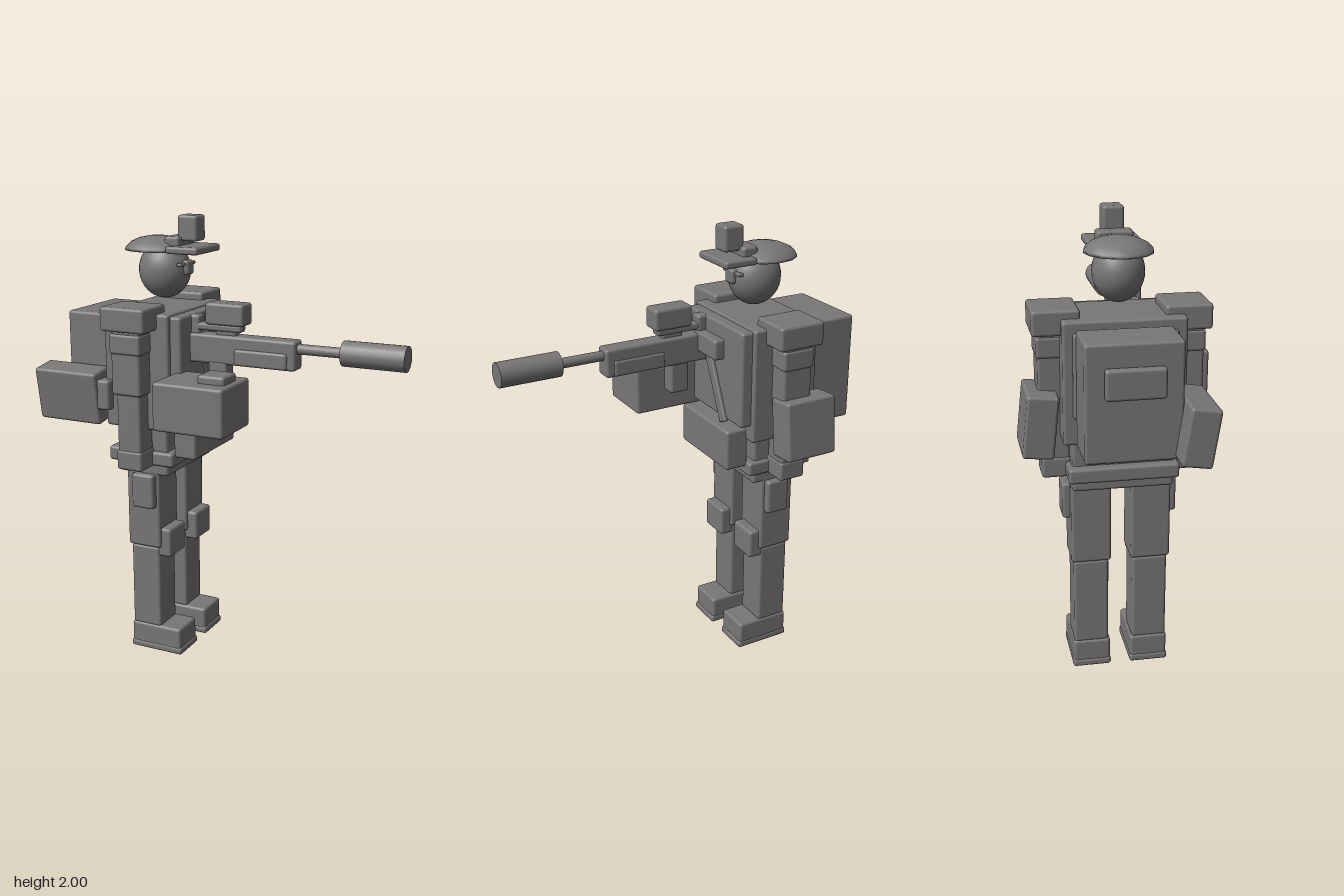
import * as THREE from 'three';
import { RoundedBoxGeometry } from 'three/addons/geometries/RoundedBoxGeometry.js';

const MID = -0.008; // mirror plane between left and right limbs

export function createModel() {
  const model = new THREE.Group();
  const gray = new THREE.MeshStandardMaterial({ color: 0x797676 });
  gray.name = 'plainGray';

  const add = (name, geometry, x, y, z, parent = model) => {
    const mesh = new THREE.Mesh(geometry, gray);
    mesh.name = name;
    mesh.position.set(x, y, z);
    parent.add(mesh);
    return mesh;
  };

  // Softly rounded box given by its extents on each axis
  const box = (name, [x0, x1], [y0, y1], [z0, z1], parent = model) => {
    const w = x1 - x0, h = y1 - y0, d = z1 - z0;
    const r = Math.min(0.013, Math.min(w, h, d) * 0.35);
    return add(name, new RoundedBoxGeometry(w, h, d, 2, r),
      (x0 + x1) / 2, (y0 + y1) / 2, (z0 + z1) / 2, parent);
  };

  const rod = (name, r, x0, x1, y, z, parent) => {
    const mesh = add(name, new THREE.CylinderGeometry(r, r, x1 - x0, 20), (x0 + x1) / 2, y, z, parent);
    mesh.rotation.z = Math.PI / 2;
    return mesh;
  };

  // Limbs: extents in z are distances from the mirror plane
  const limbs = [
    ['sole', [-0.425, -0.16], [0, 0.035], [0.042, 0.21]],
    ['boot', [-0.42, -0.167], [0.02, 0.127], [0.045, 0.207]],
    ['shin', [-0.415, -0.27], [0.12, 0.515], [0.052, 0.203]],
    ['kneePad', [-0.285, -0.213], [0.475, 0.61], [0.055, 0.2]],
    ['thigh', [-0.425, -0.26], [0.515, 0.89], [0.042, 0.213]],
    ['thighPouch', [-0.385, -0.275], [0.71, 0.87], [0.19, 0.245]],
    ['hand', [-0.405, -0.28], [0.91, 1.0], [0.208, 0.33]],
    ['forearm', [-0.4, -0.285], [0.98, 1.26], [0.212, 0.325]],
    ['upperArm', [-0.413, -0.272], [1.25, 1.55], [0.215, 0.342]],
    ['armBand', [-0.418, -0.267], [1.43, 1.52], [0.21, 0.348]],
    ['shoulderPad', [-0.45, -0.235], [1.53, 1.635], [0.172, 0.367]],
  ];
  for (const [side, s] of [['left', -1], ['right', 1]]) {
    const group = new THREE.Group();
    group.name = side + 'Limbs';
    model.add(group);
    for (const [name, x, y, [a, b]] of limbs) {
      const z = [MID + s * a, MID + s * b].sort((p, q) => p - q);
      box(name, x, y, z, group);
    }
  }

  // Trunk
  box('pelvis', [-0.465, -0.215], [0.865, 1.1], [-0.22, 0.205]);
  box('belt', [-0.505, -0.18], [0.915, 0.98], [-0.24, 0.222]);
  box('buckle', [-0.19, -0.13], [0.925, 0.965], [-0.065, 0.06]);
  box('torso', [-0.498, -0.18], [1.085, 1.6], [-0.26, 0.245]);
  box('chestPlate', [-0.2, -0.13], [1.16, 1.59], [-0.24, 0.225]);
  box('backPlate', [-0.52, -0.48], [1.2, 1.555], [-0.22, 0.205]);
  box('frontPouch', [-0.19, -0.082], [0.955, 1.14], [-0.205, 0.19]);
  const sling = box('sling', [-0.14, -0.115], [1.13, 1.46], [-0.06, -0.01]);
  sling.rotation.x = 0.44;

  // Packs and pouches
  box('backpack', [-0.725, -0.513], [1.09, 1.573], [-0.21, 0.18]);
  box('backpackPocket', [-0.76, -0.72], [1.355, 1.48], [-0.135, 0.105]);
  box('sidePack', [-0.835, -0.518], [1.092, 1.332], [0.163, 0.288]).rotation.x = 0.15;
  box('sidePackBracket', [-0.525, -0.46], [1.16, 1.295], [0.15, 0.285]);
  box('hipPouch', [-0.505, -0.26], [1.035, 1.3], [-0.415, -0.285]).rotation.x = 0.1;
  box('carriedCase', [-0.163, 0.165], [1.14, 1.35], [0.162, 0.425]);
  box('caseLid', [0.015, 0.14], [1.34, 1.385], [0.235, 0.357]);

  // Head
  const head = add('head', new THREE.SphereGeometry(0.118, 28, 20), -0.33, 1.757, MID);
  head.scale.set(1, 1.06, 0.91);
  box('nose', [-0.235, -0.197], [1.74, 1.805], [-0.036, 0.024]);
  box('eyeBar', [-0.235, -0.21], [1.78, 1.795], [-0.073, 0.062]);

  // Flattened cap with a closed underside
  const profile = [[0, 0], [0.153, 0], [0.15, 0.012], [0.125, 0.035], [0.085, 0.052], [0.045, 0.06], [0, 0.063]];
  const cap = add('cap', new THREE.LatheGeometry(profile.map(p => new THREE.Vector2(...p)), 14), -0.365, 1.842, -0.014);
  cap.scale.z = 0.93;
  box('capPeak', [-0.27, -0.113], [1.838, 1.87], [-0.125, 0.102]);
  box('headMount', [-0.295, -0.222], [1.86, 1.91], [-0.088, 0.063]);
  box('headDevice', [-0.245, -0.15], [1.888, 2.0], [-0.055, 0.033]);

  // Long tool held forward along +x
  const rifle = new THREE.Group();
  rifle.name = 'rifle';
  model.add(rifle);
  box('receiver', [-0.18, 0.36], [1.385, 1.512], [0.055, 0.138], rifle);
  box('sideRail', [0.08, 0.325], [1.387, 1.46], [0.048, 0.147], rifle);
  box('buttBlock', [-0.15, -0.085], [1.43, 1.522], [-0.09, 0.1], rifle);
  box('rearSight', [-0.145, -0.092], [1.5, 1.59], [0.065, 0.125], rifle);
  box('sightRail', [-0.145, 0.105], [1.525, 1.558], [0.07, 0.125], rifle);
  box('sightPost', [-0.02, 0.08], [1.5, 1.57], [0.075, 0.12], rifle);
  box('sight', [-0.055, 0.125], [1.555, 1.65], [0.05, 0.147], rifle);
  box('grip', [-0.045, 0.045], [1.25, 1.4], [0.065, 0.138], rifle);
  rod('barrel', 0.022, 0.34, 0.58, 1.477, 0.098, rifle);
  rod('muzzle', 0.054, 0.56, 0.832, 1.477, 0.098, rifle);

  return model;
}
